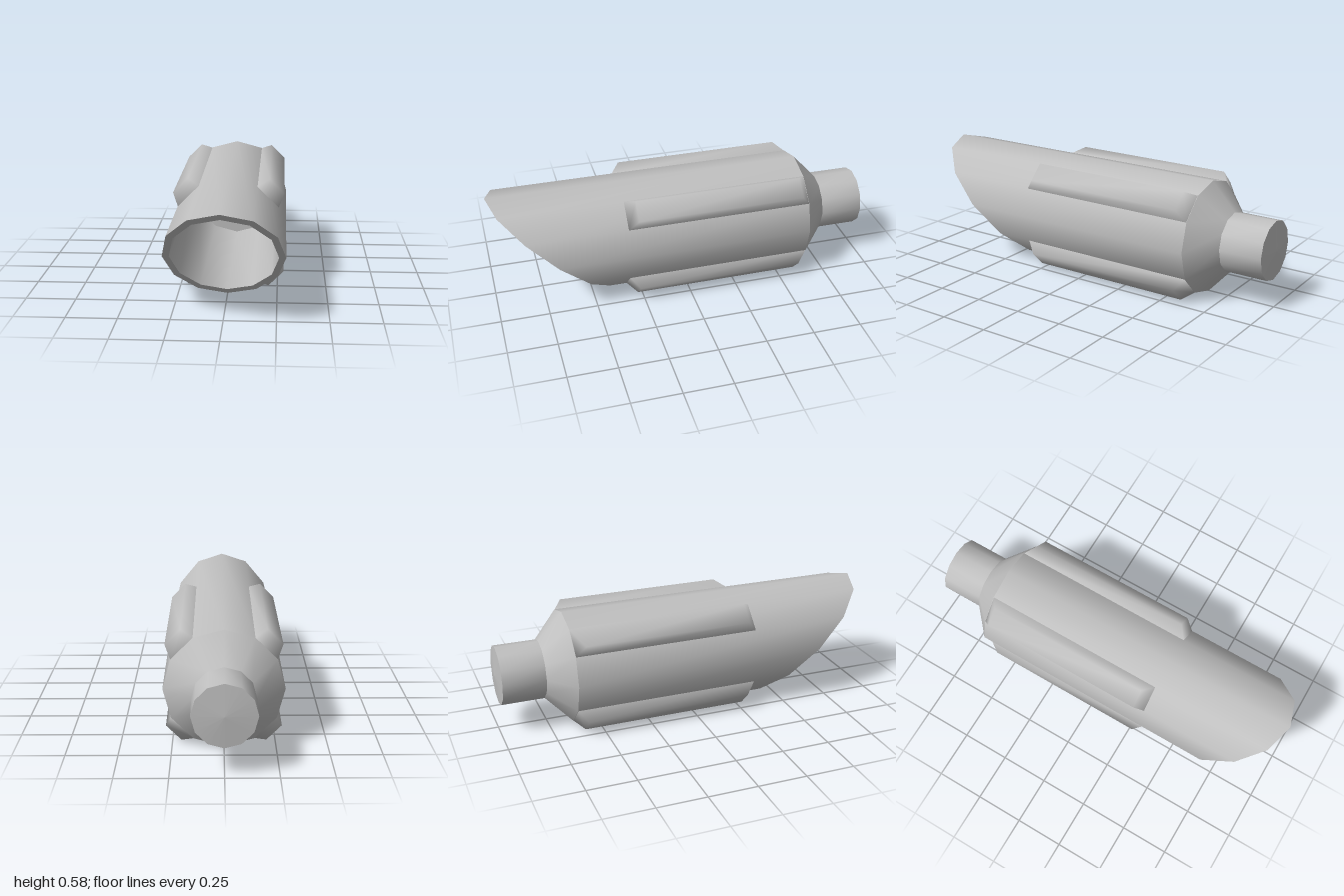
import * as THREE from 'three';

const SIDES = 12, R = 0.292, INNER = 0.259, STEM = 0.152;

// Ring of points around the z axis; z may depend on height
function ring(radius, z) {
  return Array.from({ length: SIDES }, (_, i) => {
    const a = (i / SIDES) * Math.PI * 2;
    const x = radius * Math.cos(a), y = radius * Math.sin(a);
    return [x, y, typeof z === 'function' ? z(y) : z];
  });
}

function indexed(points, index) {
  const g = new THREE.BufferGeometry();
  g.setAttribute('position', new THREE.Float32BufferAttribute(points.flat(), 3));
  g.setIndex(index);
  g.computeVertexNormals();
  return g;
}

// Smooth band between two rings
function band(a, b) {
  const index = [];
  for (let i = 0; i < SIDES; i++) {
    const j = (i + 1) % SIDES;
    index.push(i, SIDES + i, SIDES + j, i, SIDES + j, j);
  }
  return indexed([...a, ...b], index);
}

// Long rib with sloped ends, pointing along +x
function finGeometry() {
  const half = [[0.28, -0.0757], [0.3437, -0.053], [0.3437, 0.053], [0.28, 0.0757]];
  const front = [0.325, 0.275, 0.275, 0.325], back = [-0.64, -0.593, -0.593, -0.64];
  const points = [...half.map((p, i) => [...p, front[i]]), ...half.map((p, i) => [...p, back[i]])];
  const index = [0, 1, 2, 0, 2, 3, 4, 6, 5, 4, 7, 6];
  for (let i = 0; i < 3; i++) index.push(i, i + 4, i + 5, i, i + 5, i + 1);
  return indexed(points, index);
}

export function createModel() {
  const model = new THREE.Group();
  model.name = 'bevelledTube';
  const grey = new THREE.MeshStandardMaterial({ color: 0xc0c0c0 });
  grey.name = 'grey metal';

  const body = new THREE.Group();
  body.name = 'body';
  body.position.y = R;
  model.add(body);

  const add = (name, geometry) => {
    const mesh = new THREE.Mesh(geometry, grey);
    mesh.name = name;
    body.add(mesh);
    return mesh;
  };

  // Mouth is cut on a slant, longest at the top
  const slant = (y) => 0.685 + (y / R) * 0.315;

  add('outerShell', band(ring(R, slant), ring(R, -0.64)));
  add('rim', band(ring(INNER, slant), ring(R, slant)));
  add('innerWall', band(ring(INNER, -0.62), ring(INNER, slant)));
  add('innerFloor', band(ring(0, -0.62), ring(INNER, -0.62)));

  // Tapered back and narrow stem
  add('shoulder', band(ring(R, -0.64), ring(STEM, -0.767)));
  add('stem', band(ring(STEM, -0.767), ring(STEM, -0.988)));
  add('stemCap', band(ring(STEM, -0.988), ring(0, -1)));

  // Four ribs on the diagonals
  const fin = finGeometry();
  for (let k = 0; k < 4; k++) {
    add('fin' + (k + 1), fin).rotation.z = Math.PI / 4 + (k * Math.PI) / 2;
  }
  return model;
}
